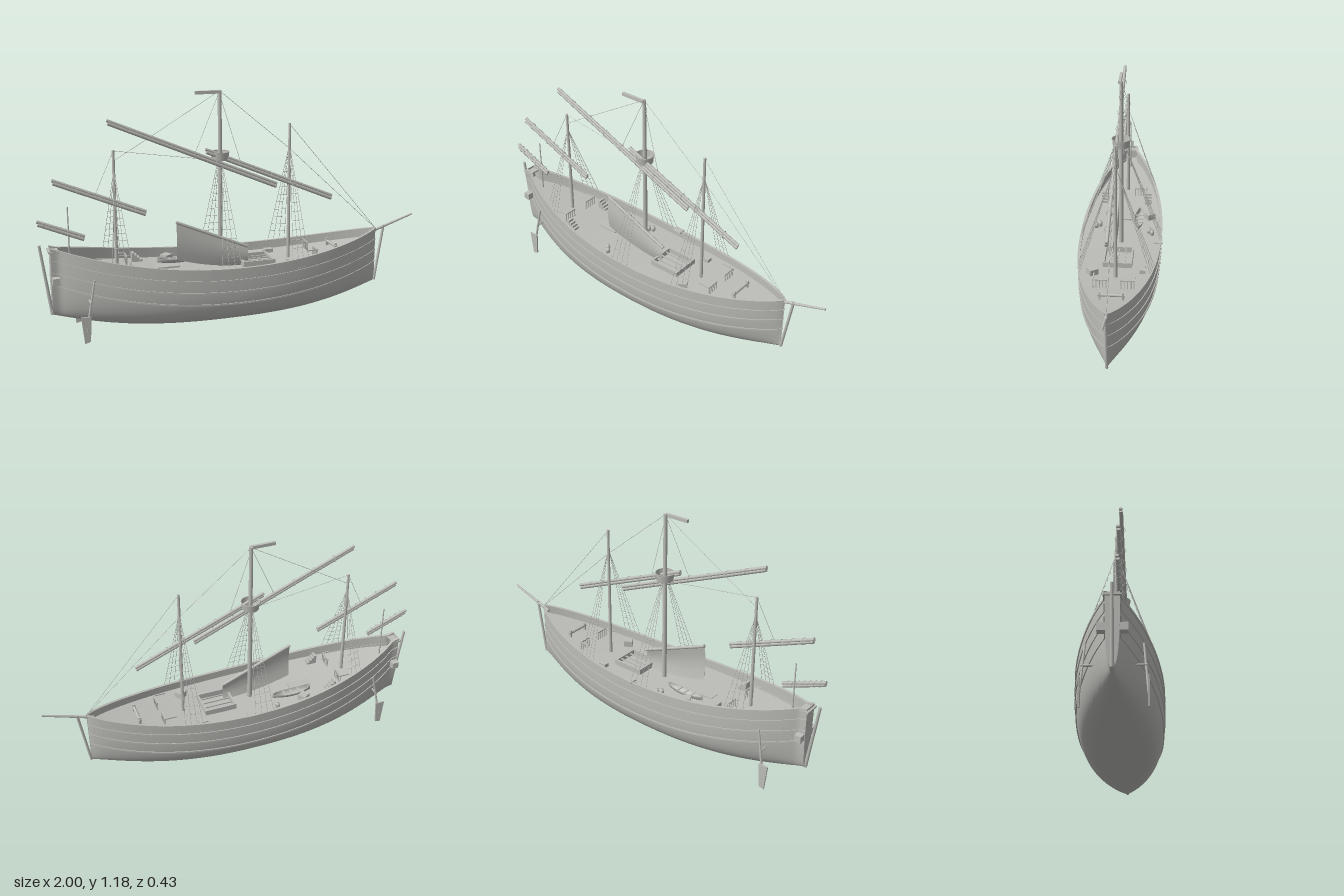
import * as THREE from 'three';
import { toCreasedNormals } from 'three/addons/utils/BufferGeometryUtils.js';

const STERN = -0.945, BOW = 0.785, MID = -0.1;
const timber = new THREE.MeshStandardMaterial({ color: 0xbcbcb8, side: THREE.DoubleSide });
timber.name = 'grey timber';

// Hull lines: 0 amidships, 1 at either end
const reach = (x) => (x > MID ? (x - MID) / (BOW - MID) : (MID - x) / (MID - STERN));
const sheer = (x) => 0.325 + (x > 0 ? 0.082 * (x / BOW) ** 2 : 0.13 * (x / STERN) ** 2);
const keel = (x) => 0.03 + 0.085 * reach(x) ** 3;
const deckY = (x) => sheer(x) - 0.045 - (x < 0 ? 0.03 * (x / STERN) ** 2 : 0);
const full = (x) => 4 - 1.4 * reach(x) ** 2;
const beam = (x) => Math.max(0.21 * (1 - Math.min(1, reach(x)) ** 2.2) ** 0.8, x < -0.5 ? 0.032 : 0.002);
function halfAt(x, y) {
  const t = Math.min(1, Math.max(0, (y - keel(x)) / (sheer(x) - keel(x))));
  const n = full(x);
  return beam(x) * (1 - (1 - t) ** n) ** (1 / n);
}

// Surface from rows of points
function grid(rows, crease = 0.7) {
  const pos = [], index = [], m = rows[0].length;
  rows.forEach((row) => row.forEach((p) => pos.push(...p)));
  for (let i = 0; i < rows.length - 1; i++) {
    for (let j = 0; j < m - 1; j++) {
      const a = i * m + j, b = a + m;
      index.push(a, b, a + 1, b, b + 1, a + 1);
    }
  }
  const g = new THREE.BufferGeometry();
  g.setAttribute('position', new THREE.Float32BufferAttribute(pos, 3));
  g.setIndex(index);
  g.computeVertexNormals();
  return toCreasedNormals(g, crease);
}
// Stations bunch together towards the ends
const stations = Array.from({ length: 61 }, (_, i) =>
  (STERN + BOW) / 2 - Math.cos((i / 60) * Math.PI) * (BOW - STERN) / 2);

function section(x, squeeze = 1) {
  const row = [], e = 2 / full(x);
  for (let j = 0; j <= 40; j++) {
    const a = (j / 40) * Math.PI, c = Math.cos(a);
    const z = Math.sign(c) * Math.abs(c) ** e * beam(x) * squeeze;
    row.push([x, sheer(x) - (sheer(x) - keel(x)) * Math.abs(Math.sin(a)) ** e, z]);
  }
  return row;
}

export function createModel() {
  const ship = new THREE.Group();
  ship.name = 'sailingShip';
  const add = (name, geometry, parent = ship) => {
    const mesh = new THREE.Mesh(geometry, timber);
    mesh.name = name;
    parent.add(mesh);
    return mesh;
  };
  const box = (name, size, at, parent) => {
    const mesh = add(name, new THREE.BoxGeometry(...size), parent);
    mesh.position.set(...at);
    return mesh;
  };
  const rod = (name, from, to, r, r2 = r, sides = 10, parent = ship) => {
    const a = new THREE.Vector3(...from), b = new THREE.Vector3(...to);
    const mesh = add(name, new THREE.CylinderGeometry(r2, r, a.distanceTo(b), sides), parent);
    mesh.position.copy(a).lerp(b, 0.5);
    mesh.quaternion.setFromUnitVectors(new THREE.Vector3(0, 1, 0), b.sub(a).normalize());
    return mesh;
  };
  const rope = (from, to, parent) => rod('rope', from, to, 0.0011, 0.0011, 4, parent);

  // Hull, transom, deck and bulwark lining
  add('hull', grid(stations.map((x) => section(x))));
  add('transom', grid([section(STERN), section(STERN, 0)]));
  add('deck', grid(stations.map((x) => {
    const w = halfAt(x, deckY(x));
    return [[x, deckY(x), -w], [x, deckY(x), w]];
  })));
  const band = (name, drop, height, out, inside) => [1, -1].forEach((s) => {
    add(name, grid(stations.map((x) => {
      const y = sheer(x) - drop, w = halfAt(x, y);
      const i = Math.max(0, w - inside), o = w + out;
      return [[x, y, s * i], [x, y, s * o], [x, y - height, s * o], [x, y - height, s * i], [x, y, s * i]];
    }), 0.5));
  });
  band('rail', -0.003, 0.011, 0.005, 0.009);
  [0.055, 0.115, 0.178].forEach((d) => band('wale', d, 0.008, 0.0045, 0.002));

  // Stem, bowsprit, sternpost
  rod('stem', [0.786, 0.115, 0], [0.832, 0.42, 0], 0.007);
  rod('bowsprit', [0.75, 0.385, 0], [1, 0.468, 0], 0.008, 0.005);
  rod('sternpost', [-0.945, 0.115, 0], [-0.993, 0.47, 0], 0.009, 0.007);
  box('sternBeam', [0.035, 0.035, 0.13], [-0.925, 0.298, 0]);
  box('sternPlatform', [0.05, 0.008, 0.08], [-0.93, 0.44, 0]);

  // Steering oars
  [1, -1].forEach((s) => {
    const oar = new THREE.Group();
    oar.name = 'steeringOar';
    ship.add(oar);
    rod('oarShaft', [-0.8, 0.06, s * 0.143], [-0.752, 0.31, s * 0.125], 0.006, 0.005, 8, oar);
    const shape = new THREE.Shape([[-0.826, 0.135], [-0.776, 0.135], [-0.784, 0.008], [-0.812, 0]]
      .map((p) => new THREE.Vector2(...p)));
    add('oarBlade', new THREE.ExtrudeGeometry(shape, { depth: 0.008, bevelEnabled: false }), oar)
      .position.z = s * 0.143 - 0.004;
    rod('oarBracket', [-0.775, 0.2, s * 0.08], [-0.775, 0.2, s * 0.14], 0.005, 0.005, 6, oar);
  });

  // Masts
  const masts = [[-0.085, 1.18, 0.0125], [0.285, 1, 0.009], [-0.62, 0.913, 0.009], [-0.85, 0.65, 0.004]];
  masts.forEach(([x, top, r]) => rod('mast', [x, deckY(x), 0], [x, top, 0], r, r * 0.75, 14));
  box('pennant', [0.13, 0.016, 0.014], [-0.148, 1.174, 0.008]);

  // Yards with furled sails
  const yards = [
    [-0.65, 1.055, 0.21, 0.69], [-0.165, 0.888, 0.515, 0.605],
    [-0.92, 0.783, -0.47, 0.597], [-1, 0.588, -0.775, 0.497],
  ];
  yards.forEach(([x1, y1, x2, y2]) => {
    const yard = new THREE.Group();
    yard.name = 'yard';
    ship.add(yard);
    rod('spar', [x1, y1 + 0.007, 0.021], [x2, y2 + 0.007, 0.021], 0.008, 0.008, 10, yard);
    rod('furledSail', [x1 + 0.004, y1 - 0.007, 0.023], [x2 - 0.004, y2 - 0.007, 0.023], 0.0095, 0.0095, 10, yard);
    for (let k = 1; k < 8; k++) {
      const t = k / 8;
      const tie = add('sailTie', new THREE.TorusGeometry(0.0165, 0.0012, 4, 12), yard);
      tie.position.set(x1 + (x2 - x1) * t, y1 + (y2 - y1) * t, 0.022);
      tie.rotation.set(0, Math.PI / 2, 0);
    }
  });

  // Lowered yard with its hanging sail
  rod('loweredYard', [-0.32, 0.535, 0.022], [0.055, 0.377, 0.022], 0.008);
  add('hangingSail', grid(Array.from({ length: 13 }, (_, i) => {
    const x = -0.32 + (i / 12) * 0.375, top = 0.535 - (i / 12) * 0.158;
    const low = deckY(x) + 0.05 * (1 - i / 12) ** 2;
    return [0, 0.25, 0.5, 0.75, 1].map((t) =>
      [x, top + (low - top) * t, 0.022 + 0.012 * Math.sin(t * Math.PI)]);
  }), 1));

  // Crow's nest
  const nest = new THREE.Group();
  nest.name = 'crowsNest';
  nest.position.set(-0.085, 0.855, 0);
  ship.add(nest);
  add('nestWall', new THREE.CylinderGeometry(0.047, 0.042, 0.04, 20, 1, true), nest);
  add('nestFloor', new THREE.CylinderGeometry(0.042, 0.04, 0.006, 20), nest).position.y = -0.018;
  const hoop = add('nestRim', new THREE.TorusGeometry(0.047, 0.002, 5, 20), nest);
  hoop.rotation.x = Math.PI / 2;
  hoop.position.y = 0.02;

  // Shrouds with ratlines
  const shrouds = new THREE.Group();
  shrouds.name = 'shrouds';
  ship.add(shrouds);
  [[-0.085, 0.87, 0.05], [0.285, 0.88, 0.045], [-0.62, 0.81, 0.045]].forEach(([x, top, spread]) => {
    [1, -1].forEach((s) => {
      const foot = (k) => [x + spread * k, sheer(x), s * beam(x + spread * k)];
      [-1, -0.33, 0.33, 1].forEach((k) => rope(foot(k), [x, top, s * 0.006], shrouds));
      for (let t = 0.1; t < 0.85; t += 0.08) {
        const rung = (k) => {
          const f = foot(k);
          return [f[0] + (x - f[0]) * t, f[1] + (top - f[1]) * t, f[2] * (1 - t)];
        };
        rope(rung(-1), rung(1), shrouds);
      }
    });
  });
  // Stays and halyards
  [
    [[-0.085, 1.178, 0], [0.285, 0.87, 0]], [[0.285, 0.87, 0], [0.79, 0.4, 0]],
    [[0.285, 0.995, 0], [0.79, 0.4, 0]], [[-0.085, 1.178, 0], [-0.62, 0.86, 0]],
    [[-0.62, 0.91, 0], [-0.085, 0.83, 0]], [[-0.085, 1.178, 0], [-0.22, 0.875, 0.02]],
    [[-0.085, 1.16, 0], [0.02, 0.81, 0.02]], [[-0.62, 0.91, 0], [-0.72, 0.7, 0.02]],
  ].forEach(([a, b]) => rope(a, b));

  // Main hatch
  const hy = deckY(0.1);
  [-0.07, 0.07].forEach((z) => box('hatchSide', [0.17, 0.03, 0.01], [0.102, hy + 0.015, z]));
  [0.022, 0.182].forEach((x) => box('hatchEnd', [0.01, 0.03, 0.15], [x, hy + 0.015, 0]));
  [-0.035, 0, 0.035].forEach((z) => box('hatchBar', [0.16, 0.006, 0.006], [0.102, hy + 0.02, z]));

  // Rowing boat
  const dy = deckY(-0.29);
  const boat = add('rowingBoat', grid(Array.from({ length: 17 }, (_, i) => {
    const u = i / 8 - 1, w = 0.026 * (1 - u * u) ** 0.7;
    return Array.from({ length: 9 }, (_, j) => {
      const a = (j / 8) * Math.PI;
      return [u * 0.108, 0.026 + 0.01 * u * u - Math.sin(a) * 0.024, Math.cos(a) * w];
    });
  })));
  boat.position.set(-0.29, dy, -0.085);
  [-0.04, 0, 0.04].forEach((x) => box('thwart', [0.01, 0.003, 0.044], [-0.29 + x, dy + 0.022, -0.085]));

  // Fences at the ends of the waist
  [[0.41, 0.1, -0.06], [-0.56, 0.11, -0.05]].forEach(([x, w, run]) => [1, -1].forEach((s) => {
    const y = deckY(x);
    for (let k = 0; k < 5; k++) box('fencePost', [0.004, 0.045, 0.004], [x, y + 0.022, s * (w - k * 0.016)]);
    box('fenceRail', [0.006, 0.006, 0.07], [x, y + 0.045, s * (w - 0.033)]);
    box('fenceRail', [Math.abs(run), 0.006, 0.006], [x + run / 2, y + 0.045, s * w]);
  }));

  // Steps, crates and barrels
  [1, -1].forEach((s) => [0, 1, 2, 3].forEach((k) =>
    box('step', [0.013, 0.012 * (4 - k), 0.035], [-0.515 + k * 0.013, deckY(-0.5) + 0.006 * (4 - k), s * 0.123])));
  [[-0.335, -0.14], [0.26, 0.118]].forEach(([x, z]) => {
    const crate = box('crate', [0.045, 0.032, 0.045], [x, deckY(x) + 0.016, z]);
    crate.rotation.y = 0.6;
  });
  box('bench', [0.045, 0.02, 0.03], [0.22, deckY(0.22) + 0.01, -0.13]);
  const stave = [[0, 0], [0.009, 0], [0.012, 0.014], [0.009, 0.028], [0, 0.028]].map((p) => new THREE.Vector2(...p));
  [[-0.185, -0.145], [-0.165, -0.16], [-0.24, 0.125], [-0.222, 0.145]].forEach(([x, z]) =>
    add('barrel', new THREE.LatheGeometry(stave, 12)).position.set(x, deckY(x), z));
  box('platform', [0.12, 0.008, 0.05], [-0.36, deckY(-0.36) + 0.004, -0.02]);

  // Windlass and boarding step
  const wy = deckY(0.53);
  rod('windlass', [0.53, wy + 0.025, -0.065], [0.53, wy + 0.025, 0.065], 0.008);
  [1, -1].forEach((s) => box('windlassPost', [0.014, 0.04, 0.008], [0.53, wy + 0.02, s * 0.055]));
  box('boardingStep', [0.05, 0.008, 0.04], [-0.022, 0.328, -0.2]);

  return ship;
}
